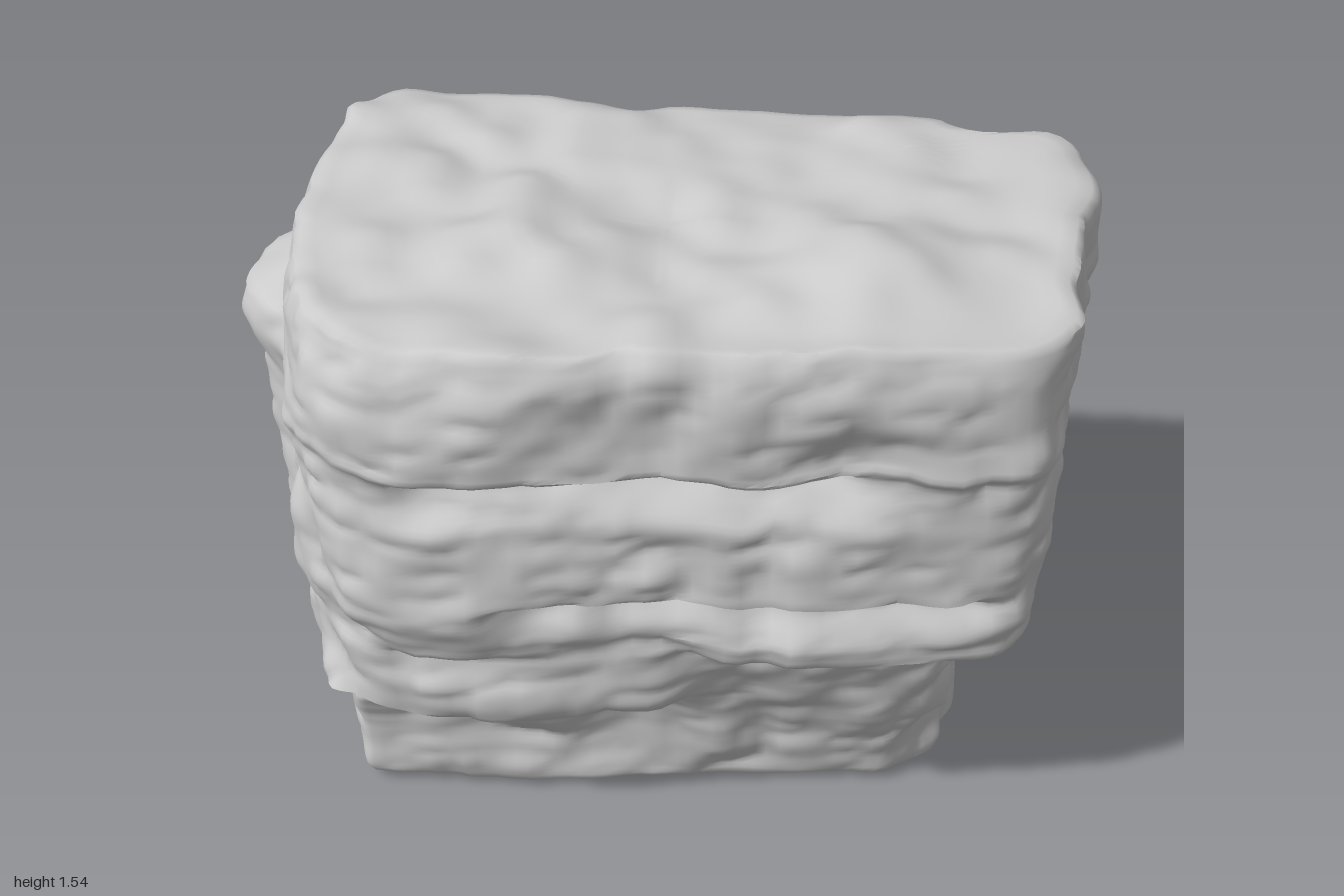
import * as THREE from 'three';
import { toCreasedNormals } from 'three/addons/utils/BufferGeometryUtils.js';

const SEG = 180, RINGS = 110, CAP = 26;
const { lerp, smoothstep, clamp } = THREE.MathUtils;

// Plan outline, normalised so each side reaches 1 (x, z)
const PLAN = [
  [1, -0.05], [0.97, 0.3], [0.95, 0.65], [0.87, 0.79], [0.41, 0.89], [0, 0.92], [-0.44, 1], [-0.75, 0.95],
  [-0.92, 0.7], [-1, 0.15], [-0.96, -0.52], [-0.93, -0.8], [-0.88, -0.97], [-0.76, -1], [-0.35, -0.94],
  [0, -0.89], [0.61, -0.87], [0.71, -0.73], [0.94, -0.67],
];

// Reach per height: y, left front, left back, right front, right back, front left, front right, back
const LEVELS = [
  [0.04, 0.77, 0.80, 0.71, 0.71, 0.32, 0.32, 0.45],
  [0.09, 0.78, 0.81, 0.72, 0.72, 0.33, 0.33, 0.50],
  [0.20, 0.79, 0.82, 0.72, 0.72, 0.34, 0.35, 0.52],
  [0.29, 0.79, 0.82, 0.72, 0.73, 0.37, 0.38, 0.53],
  [0.31, 0.79, 0.82, 0.72, 0.80, 0.39, 0.39, 0.55],
  [0.37, 0.80, 0.83, 0.72, 0.81, 0.42, 0.42, 0.55],
  [0.39, 0.84, 0.83, 0.72, 0.81, 0.51, 0.43, 0.55],
  [0.50, 0.85, 0.83, 0.73, 0.82, 0.54, 0.48, 0.53],
  [0.575, 0.85, 0.84, 0.75, 0.82, 0.55, 0.50, 0.58],
  [0.60, 0.85, 0.84, 0.88, 0.88, 0.55, 0.56, 0.60],
  [0.64, 0.86, 0.84, 0.90, 0.90, 0.56, 0.57, 0.60],
  [0.66, 0.86, 0.84, 0.91, 0.96, 0.57, 0.58, 0.60],
  [0.75, 0.86, 0.85, 0.92, 0.97, 0.60, 0.60, 0.59],
  [1.13, 0.87, 0.86, 0.93, 0.98, 0.59, 0.59, 0.61],
  [1.16, 0.87, 0.86, 0.94, 0.98, 0.62, 0.62, 0.61],
  [1.39, 0.86, 0.87, 0.95, 0.98, 0.61, 0.61, 0.63],
  [1.46, 0.84, 0.85, 0.95, 0.98, 0.58, 0.58, 0.60],
];

// Undercut cracks on the long faces: y, x from, x to, depth, face (1 front, -1 back)
const CRACKS = [
  [1.14, -0.62, 0.5, 0.07, 1], [0.78, -0.42, 0.85, 0.06, 1], [0.6, -0.7, -0.2, 0.04, 1],
  [1.2, -0.7, 0.1, 0.03, -1], [0.9, -0.3, 0.6, 0.035, -1], [0.54, -0.8, 0.4, 0.03, -1],
];

// Smooth value noise, -1 to 1
function hash(i, j, k) {
  let h = Math.imul(i, 374761393) + Math.imul(j, 668265263) + Math.imul(k, 1274126177);
  h = Math.imul(h ^ (h >>> 13), 1103515245);
  return ((h ^ (h >>> 16)) >>> 0) / 2147483648 - 1;
}
function noise(x, y, z) {
  const i = Math.floor(x), j = Math.floor(y), k = Math.floor(z);
  const a = smoothstep(x - i, 0, 1), b = smoothstep(y - j, 0, 1), c = smoothstep(z - k, 0, 1);
  const row = (q, r) => lerp(hash(i, q, r), hash(i + 1, q, r), a);
  return lerp(lerp(row(j, k), row(j + 1, k), b), lerp(row(j, k + 1), row(j + 1, k + 1), b), c);
}
// Rounded lumps with sharp creases between them
const lumps = (x, y, z) => 2 * Math.abs(noise(x, y, z)) - 0.5;

function reachAt(y) {
  let n = 1;
  while (n < LEVELS.length - 1 && LEVELS[n][0] < y) n++;
  const a = LEVELS[n - 1], b = LEVELS[n];
  const t = clamp((y - a[0]) / (b[0] - a[0]), 0, 1);
  return a.map((v, i) => lerp(v, b[i], t));
}

// One point on the weathered side wall
function wallPoint(u, v, y) {
  const r = reachAt(y);
  // The foot has squarer corners at front left and back right
  if (u < -0.4 && v > 0) v = lerp(v, Math.min(1, v * 1.4), 1 - smoothstep(y, 0.28, 0.5));
  if (u > 0 && v < 0) v = lerp(v, Math.max(-0.9, v * 1.25), 1 - smoothstep(y, 0.15, 0.3));

  const back = 1 - smoothstep(v, -0.5, 0.1);
  let x = u * (u < 0 ? lerp(r[1], r[2], back) : lerp(r[3], r[4], back));
  let z = v * (v > 0 ? lerp(r[5], r[6], smoothstep(u, -0.2, 0.4)) : r[7]);

  // Chamfer on the front right corner of the foot
  const excess = x + z - lerp(0.84, 1.15, smoothstep(y, 0.1, 0.55));
  if (excess > 0 && y < 0.58) {
    x -= excess / 2;
    z -= excess / 2;
  }
  // Bulging slab on the end, cut off by a ledge near the top
  if (u < -0.7) {
    const band = smoothstep(z, -0.36, -0.25) * (1 - smoothstep(z, -0.11, 0.12));
    x -= band * lerp(0.02, 0.14, y / 1.24) * (1 - smoothstep(y, 1.22, 1.26));
  }
  // Each crack is sharp above and fades out downward
  for (const [cy, x0, x1, depth, face] of CRACKS) {
    if (v * face < 0.55) continue;
    const d = cy - y;
    const cut = smoothstep(d, -0.015, 0.015) * (1 - smoothstep(d, 0.015, 0.13));
    z -= face * depth * cut * smoothstep(x, x0, x0 + 0.15) * (1 - smoothstep(x, x1 - 0.15, x1));
  }
  // Hollow broken out of the front, above the end of the upper crack
  if (v > 0.5) z -= 0.05 * Math.exp(-(((x - 0.45) / 0.12) ** 2) - ((y - 1.22) / 0.09) ** 2);

  // Rough stone
  const rough = 0.014 * noise(x * 4, y * 5, z * 4) + 0.018 * lumps(x * 6 + 7, y * 7, z * 6)
    + 0.008 * lumps(x * 13, y * 14 + 3, z * 13);
  const len = Math.hypot(u, v);
  // Ledges wander up and down along the wall
  const wave = (0.018 * noise(x * 3, 5, z * 3) + 0.014 * noise(x * 9, 2, z * 9))
    * smoothstep(y, 0.05, 0.25) * (1 - smoothstep(y, 1.25, 1.44));
  return [x + rough * u / len, y + wave, z + rough * v / len];
}

function topHeight(x, z) {
  const hill = (cx, cz, w) => Math.exp(-((x - cx) ** 2 + (z - cz) ** 2) / (w * w));
  return 1.47 + 0.065 * hill(0.5, 0.18, 0.22) + 0.04 * hill(-0.3, 0.1, 0.22)
    - 0.05 * (1 - smoothstep(z, -0.62, -0.42))
    + 0.015 * noise(x * 4, 9, z * 5) + 0.016 * noise(x * 9, 3, z * 9);
}

function rockGeometry() {
  const curve = new THREE.CatmullRomCurve3(PLAN.map(([x, z]) => new THREE.Vector3(x, 0, z)), true, 'centripetal');
  const plan = curve.getSpacedPoints(SEG).slice(0, SEG);
  const rings = [];
  const wall = y => plan.map(p => wallPoint(p.x, p.z, y));

  // Underside, from the middle out to the rim
  const foot = wall(0.04);
  for (let i = 0; i < CAP; i++) {
    const s = lerp(0.004, 0.985, i / (CAP - 1));
    rings.push(foot.map(([x, , z]) => [x * s, 0.007 + 0.025 * s ** 10 + 0.007 * noise(x * s * 5, 1, z * s * 5), z * s]));
  }
  // Side wall, whose upper rim follows the uneven top
  for (let i = 0; i <= RINGS; i++) {
    const t = i / RINGS;
    const lift = smoothstep(t, 0.8, 1);
    rings.push(wall(lerp(0.045, 1.46, t)).map(([x, y, z]) => [x, y + lift * (topHeight(x, z) - 1.47), z]));
  }
  // Top, from the rim back to the middle
  const rim = wall(1.46);
  for (let i = 0; i < CAP; i++) {
    const s = lerp(0.983, 0.004, i / (CAP - 1));
    rings.push(rim.map(([x, , z]) => [x * s, topHeight(x * s, z * s), z * s]));
  }

  const index = [];
  for (let r = 0; r < rings.length - 1; r++) {
    for (let i = 0; i < SEG; i++) {
      const j = (i + 1) % SEG;
      const a = r * SEG + i, b = r * SEG + j, c = a + SEG, d = b + SEG;
      index.push(a, c, b, b, c, d);
    }
  }
  // Close the small holes in the middle of both caps
  const last = (rings.length - 1) * SEG;
  for (let i = 1; i < SEG - 1; i++) index.push(0, i, i + 1, last, last + i + 1, last + i);

  const geometry = new THREE.BufferGeometry();
  geometry.setAttribute('position', new THREE.Float32BufferAttribute(rings.flat(2), 3));
  geometry.setIndex(index);
  return toCreasedNormals(geometry, 0.9);
}

export function createModel() {
  const group = new THREE.Group();
  group.name = 'layeredRock';
  const rock = new THREE.Mesh(rockGeometry(), new THREE.MeshStandardMaterial({ color: 0xcccccc }));
  rock.name = 'boulder';
  group.add(rock);
  return group;
}
